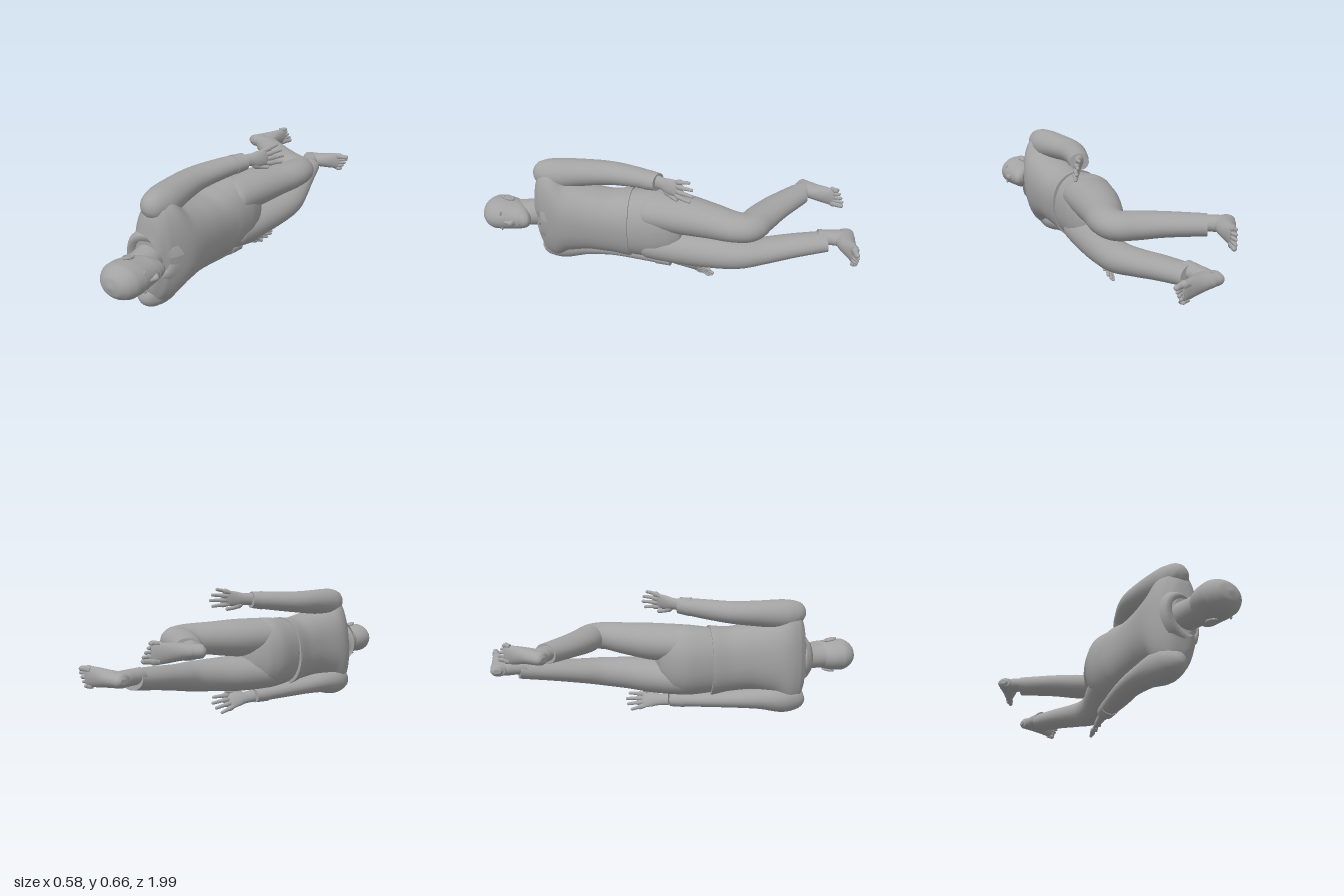
import * as THREE from 'three';

const V = (x, y, z) => new THREE.Vector3(x, y, z);
const grey = new THREE.MeshStandardMaterial({ color: 0xa3a3a3, side: THREE.DoubleSide });
grey.name = 'grey';

function add(parent, name, geometry) {
  const mesh = new THREE.Mesh(geometry, grey);
  mesh.name = name;
  parent.add(mesh);
  return mesh;
}

function surface(points, index) {
  const g = new THREE.BufferGeometry();
  g.setAttribute('position', new THREE.Float32BufferAttribute(points, 3));
  g.setIndex(index);
  g.computeVertexNormals();
  return g;
}

// Smooth skin over elliptical sections [x, y, z, radius across, radius along "up"]
function loft(sections, { up = V(0, 1, 0), axis = null, sides = 28, steps = 5, power = 1 } = {}) {
  const path = new THREE.CatmullRomCurve3(sections.map(s => V(s[0], s[1], s[2])));
  const radii = new THREE.CatmullRomCurve3(sections.map(s => V(s[3], s[4], 0)));
  const rows = (sections.length - 1) * steps;
  const p = [], index = [], rings = [];
  const curve = a => Math.sign(a) * Math.abs(a) ** power;
  for (let i = 0; i <= rows; i++) {
    const c = path.getPoint(i / rows), r = radii.getPoint(i / rows);
    const t = axis || path.getTangent(i / rows);
    const u = up.clone().cross(t).normalize(), v = t.clone().cross(u).normalize();
    const ring = [];
    for (let j = 0; j < sides; j++) {
      const a = j / sides * Math.PI * 2;
      const q = c.clone().addScaledVector(u, curve(Math.cos(a)) * r.x).addScaledVector(v, curve(Math.sin(a)) * r.y);
      ring.push(q);
      p.push(q.x, q.y, q.z);
    }
    rings.push([c, ring]);
  }
  for (let i = 0; i < rows; i++) for (let j = 0; j < sides; j++) {
    const k = (j + 1) % sides, a = i * sides + j, b = i * sides + k;
    index.push(a, b, b + sides, a, b + sides, a + sides);
  }
  // Flat end caps with their own vertices
  for (const [n, end] of [[0, false], [rows, true]]) {
    const base = p.length / 3, [c, ring] = rings[n];
    for (const q of [c, ...ring]) p.push(q.x, q.y, q.z);
    for (let j = 0; j < sides; j++) {
      const a = base + 1 + j, b = base + 1 + (j + 1) % sides;
      index.push(base, end ? a : b, end ? b : a);
    }
  }
  return surface(p, index);
}

function ellipsoid(parent, name, pos, scale) {
  const mesh = add(parent, name, new THREE.SphereGeometry(1, 18, 12));
  mesh.position.set(...pos);
  mesh.scale.set(...scale);
  return mesh;
}

// Rounded finger or toe through a few points
function digit(parent, name, pts, r) {
  const n = pts.length - 1;
  const s = pts.map((q, i) => [...q, i === n ? r * 0.85 : r, i === n ? r * 0.85 : r]);
  add(parent, name, loft(s, { sides: 10, steps: 4 }));
  ellipsoid(parent, name + 'Tip', pts[n], [r * 0.95, r * 0.86, r * 0.86]);
}

// Local frame: x along the limb end, z sideways
function frame(parent, name, origin, forward, side) {
  const g = new THREE.Group();
  const x = forward.clone().normalize();
  const z = side.clone().addScaledVector(x, -side.dot(x)).normalize();
  g.quaternion.setFromRotationMatrix(new THREE.Matrix4().makeBasis(x, z.clone().cross(x), z));
  g.position.copy(origin);
  g.name = name;
  parent.add(g);
  return g;
}

function hand(parent, name, origin, forward, thumbSide) {
  const g = frame(parent, name, origin, forward, thumbSide);
  add(g, 'palm', loft([
    [-0.03, 0, 0, 0.026, 0.034], [0.02, 0, 0, 0.023, 0.032],
    [0.06, 0.002, 0.002, 0.021, 0.04], [0.1, 0.002, 0, 0.016, 0.042], [0.122, 0, -0.002, 0.009, 0.034],
  ], { up: V(0, 0, 1) }));
  [0.083, 0.098, 0.09, 0.068].forEach((len, i) => {
    const z = 0.031 - i * 0.021, spread = 0.014 - i * 0.01;
    digit(g, 'finger', [[0.1, 0, z], [0.11 + len * 0.5, 0.003, z + spread * 0.6], [0.11 + len, -0.004, z + spread]], 0.01);
  });
  digit(g, 'thumb', [[0.025, 0, 0.018], [0.065, -0.003, 0.045], [0.112, -0.004, 0.058]], 0.012);
}

// Foot with its ankle on the given side (up = 1 or -1) of the local frame
function foot(parent, name, origin, forward, bigToeSide, up) {
  const g = frame(parent, name, origin, forward, bigToeSide);
  const y = h => h * up;
  add(g, 'instep', loft([
    [0, y(0.04), 0, 0.012, 0.02], [0.015, y(0.04), 0, 0.03, 0.038], [0.06, y(0.054), 0, 0.037, 0.054],
    [0.12, y(0.048), 0, 0.041, 0.047], [0.18, y(0.031), 0.002, 0.047, 0.03],
    [0.225, y(0.019), 0.004, 0.048, 0.017], [0.24, y(0.015), 0.004, 0.04, 0.01],
  ]));
  add(g, 'ankle', loft([
    [0.062, y(0.04), 0, 0.05, 0.037], [0.063, y(0.09), 0, 0.05, 0.039],
    [0.064, y(0.13), 0, 0.045, 0.038], [0.068, y(0.19), 0, 0.045, 0.039],
  ], { up: V(0, 0, 1) }));
  [0.285, 0.28, 0.27, 0.258, 0.245].forEach((end, i) => {
    const r = i ? 0.0095 : 0.015, z = i ? 0.035 - i * 0.0195 : 0.034;
    digit(g, 'toe', [[0.2, y(0.018), z], [0.24, y(0.021), z], [end - r, y(r), z]], r);
  });
}

function head(parent) {
  const g = new THREE.Group();
  g.name = 'head';
  parent.add(g);
  const axis = V(0, 0, 1);
  add(g, 'neck', loft([
    [0.025, 0.307, 0.6, 0.075, 0.078], [0.035, 0.306, 0.68, 0.075, 0.074], [0.045, 0.302, 0.75, 0.077, 0.069], [0.057, 0.3, 0.85, 0.08, 0.066],
  ], { axis }));
  add(g, 'skull', loft([
    [0.135, 0.3, 0.722, 0.012, 0.012], [0.127, 0.3, 0.73, 0.032, 0.03], [0.108, 0.3, 0.748, 0.058, 0.05],
    [0.085, 0.3, 0.785, 0.084, 0.069], [0.07, 0.3, 0.83, 0.102, 0.077], [0.065, 0.3, 0.88, 0.111, 0.084],
    [0.064, 0.3, 0.925, 0.108, 0.085], [0.065, 0.3, 0.962, 0.088, 0.071], [0.065, 0.3, 0.988, 0.055, 0.044],
    [0.065, 0.3, 0.998, 0.006, 0.005],
  ], { axis, sides: 36 }));
  add(g, 'nose', loft([
    [0.162, 0.3, 0.868, 0.01, 0.009], [0.17, 0.3, 0.835, 0.013, 0.01], [0.174, 0.3, 0.813, 0.015, 0.016], [0.162, 0.3, 0.798, 0.012, 0.015],
  ], { axis, sides: 14 }));
  ellipsoid(g, 'upperLip', [0.16, 0.3, 0.777], [0.01, 0.024, 0.006]);
  ellipsoid(g, 'lowerLip', [0.158, 0.3, 0.767], [0.01, 0.02, 0.006]);
  for (const s of [-1, 1]) {
    ellipsoid(g, 'eye', [0.149, 0.3 + s * 0.034, 0.852], [0.012, 0.015, 0.009]);
    ellipsoid(g, 'brow', [0.154, 0.3 + s * 0.035, 0.874], [0.012, 0.023, 0.006]).rotation.z = -s * 0.35;
    const ear = new THREE.Group();
    ear.name = 'ear';
    ear.position.set(0.058, 0.3 + s * 0.088, 0.86);
    ear.rotation.set(s * Math.PI / 2 - s * 0.2, 0, 0);
    g.add(ear);
    const rim = add(ear, 'earRim', new THREE.TorusGeometry(0.02, 0.006, 8, 20));
    rim.scale.set(0.85, 1.4, 1);
    ellipsoid(ear, 'earBowl', [0.002, 0, 0], [0.016, 0.026, 0.006]);
  }
}

// Open collar, dropping into two points at the front
function collar(parent) {
  const p = [], index = [], n = 32;
  for (let i = 0; i <= n; i++) {
    const a = 0.16 + i / n * (Math.PI * 2 - 0.32), f = (1 + Math.cos(a)) / 2;
    [[0.08, 0.69 - 0.04 * f], [0.094, 0.732 - 0.06 * f ** 2], [0.118, 0.712 - 0.07 * f ** 3], [0.134, 0.69 - 0.08 * f ** 4]].forEach(([r, z], k) => {
      const fall = k > 1 ? 0.012 * f : 0.01 * f;
      p.push(0.035 + (r + fall) * Math.cos(a), 0.305 + r * Math.sin(a), z);
      if (i < n && k < 3) {
        const q = i * 4 + k;
        index.push(q, q + 5, q + 1, q, q + 4, q + 5);
      }
    });
  }
  add(parent, 'collar', surface(p, index));
}

export function createModel() {
  const model = new THREE.Group();
  model.name = 'recliningFigure';
  const axis = V(0, 0, -1);
  head(model);
  collar(model);

  // Shirt body, lying on its side, broad across the shoulders
  add(model, 'shirt', loft([
    [0.03, 0.31, 0.708, 0.055, 0.1], [0.03, 0.312, 0.695, 0.075, 0.19], [0.03, 0.313, 0.665, 0.105, 0.26],
    [0.034, 0.313, 0.61, 0.132, 0.275], [0.046, 0.311, 0.53, 0.148, 0.215], [0.055, 0.31, 0.4, 0.143, 0.183],
    [0.055, 0.3, 0.29, 0.143, 0.178], [0.05, 0.297, 0.2, 0.152, 0.189], [0.05, 0.297, 0.18, 0.154, 0.19],
  ], { axis, up: V(0.1, 1, 0).normalize(), sides: 44, power: 0.88 }));

  // Sleeves with rounded shoulders, and cuffs
  const sleeves = {
    leftSleeve: [
      [0.042, 0.51, 0.692, 0.012, 0.012], [0.042, 0.518, 0.682, 0.044, 0.046], [0.04, 0.536, 0.65, 0.07, 0.077],
      [0.034, 0.545, 0.58, 0.086, 0.082], [0.022, 0.557, 0.45, 0.081, 0.07],
      [0.024, 0.567, 0.3, 0.073, 0.06], [0.072, 0.58, 0.15, 0.06, 0.052], [0.125, 0.59, 0.03, 0.05, 0.043],
    ],
    rightSleeve: [
      [0, 0.12, 0.692, 0.012, 0.012], [0, 0.112, 0.682, 0.044, 0.046], [-0.005, 0.092, 0.65, 0.074, 0.076],
      [-0.01, 0.085, 0.58, 0.088, 0.082], [-0.016, 0.09, 0.45, 0.077, 0.06],
      [-0.01, 0.09, 0.3, 0.065, 0.048], [0.018, 0.085, 0.13, 0.055, 0.042], [0.05, 0.078, -0.03, 0.044, 0.036],
    ],
  };
  for (const [name, s] of Object.entries(sleeves)) {
    add(model, name, loft(s));
    const [a, b] = s.slice(-2);
    const mix = k => [0, 1, 2].map(i => a[i] + (b[i] - a[i]) * k);
    add(model, name + 'Cuff', loft([[...mix(0.55), b[3] + 0.007, b[4] + 0.007], [...mix(1.03), b[3] + 0.001, b[4] + 0.001]]));
  }
  hand(model, 'leftHand', V(0.137, 0.594, 0.015), V(0.122, 0.012, -0.19), V(0.22, -0.95, 0));
  hand(model, 'rightHand', V(0.057, 0.077, -0.07), V(0.068, -0.025, -0.22), V(0.55, 0.75, 0));

  // Trousers
  add(model, 'trouserSeat', loft([
    [0.05, 0.297, 0.24, 0.135, 0.17], [0.05, 0.3, 0.15, 0.147, 0.184], [0.05, 0.304, 0.05, 0.152, 0.193],
    [0.06, 0.304, -0.03, 0.135, 0.175], [0.08, 0.3, -0.09, 0.09, 0.11], [0.09, 0.3, -0.115, 0.02, 0.02],
  ], { axis, sides: 36, power: 0.92 }));
  add(model, 'leftTrouserLeg', loft([
    [0.05, 0.385, 0.14, 0.1, 0.07], [0.06, 0.395, 0.06, 0.133, 0.097], [0.1, 0.398, -0.1, 0.122, 0.1], [0.155, 0.405, -0.25, 0.103, 0.087],
    [0.205, 0.412, -0.37, 0.088, 0.075], [0.2, 0.412, -0.445, 0.084, 0.07], [0.12, 0.412, -0.49, 0.085, 0.068],
    [0.01, 0.418, -0.56, 0.08, 0.06], [-0.15, 0.425, -0.685, 0.066, 0.052],
  ]));
  add(model, 'rightTrouserLeg', loft([
    [0.05, 0.21, 0.14, 0.1, 0.07], [0.06, 0.205, 0.06, 0.133, 0.095], [0.1, 0.207, -0.1, 0.118, 0.096], [0.14, 0.213, -0.25, 0.098, 0.087],
    [0.157, 0.222, -0.4, 0.088, 0.077], [0.135, 0.237, -0.52, 0.083, 0.066], [0.1, 0.26, -0.67, 0.076, 0.058],
    [0.065, 0.282, -0.84, 0.066, 0.05],
  ]));
  foot(model, 'leftFoot', V(-0.3, 0.43, -0.712), V(0.18, 0, -0.22), V(0, -1, 0), 1);
  foot(model, 'rightFoot', V(-0.022, 0.297, -0.985), V(1, 0, -0.045), V(0, 1, 0), -1);
  return model;
}
